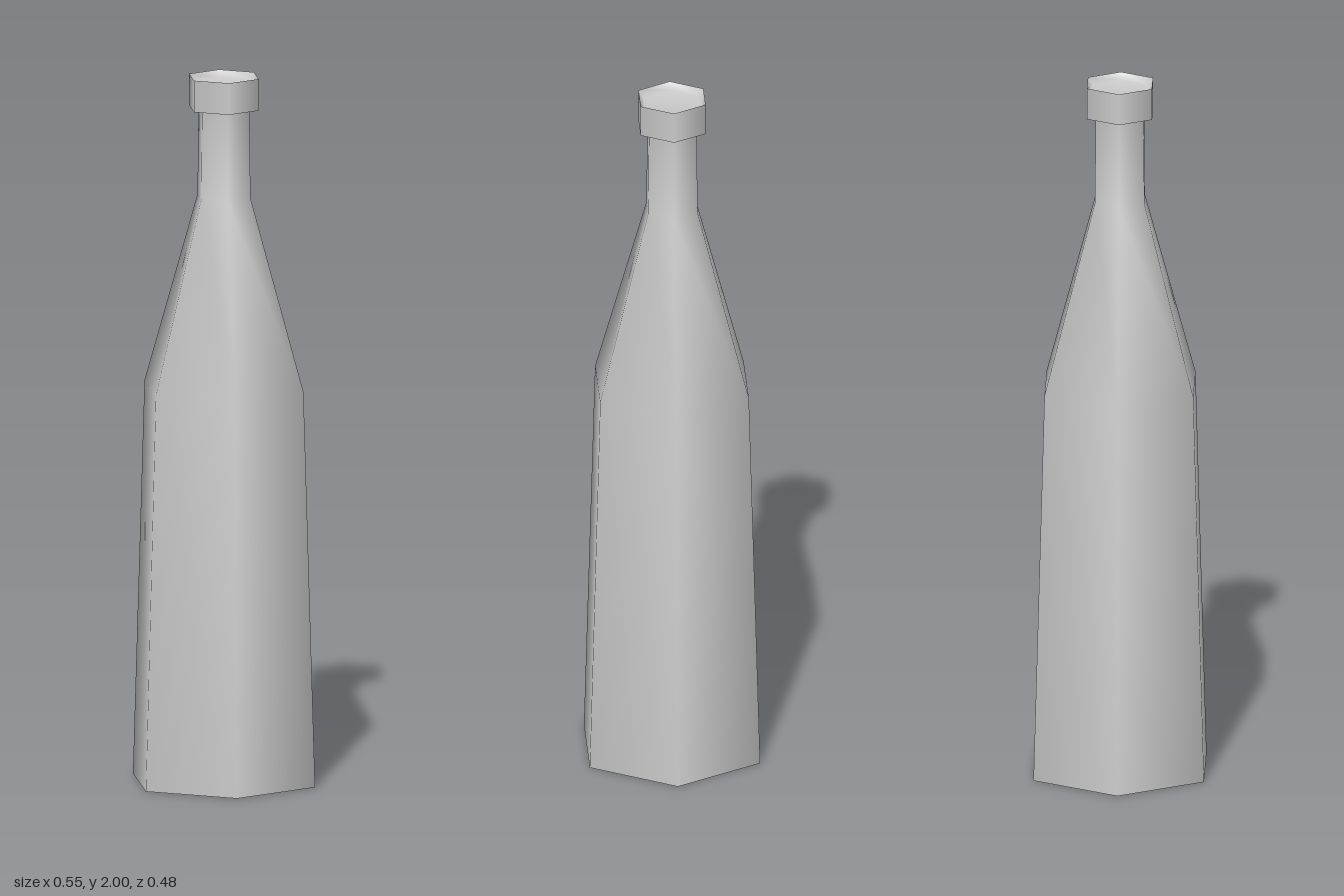
import * as THREE from 'three';

const SIDES = 6;

// Six-sided turned part with smooth normals; profile runs bottom to top as [radius, y]
function turned(name, profile, material) {
  const points = profile.map(([r, y]) => new THREE.Vector2(r, y));
  const geometry = new THREE.LatheGeometry(points, SIDES, Math.PI / 2);
  const mesh = new THREE.Mesh(geometry, material);
  mesh.name = name;
  return mesh;
}

export function createModel() {
  const bottle = new THREE.Group();
  bottle.name = 'bottle';
  const grey = new THREE.MeshStandardMaterial({ color: 0xcccccc });

  // Shallow hollow under the base
  bottle.add(turned('baseHollow', [[0, 0.03], [0.15, 0.03], [0.275, 0]], grey));

  // Tapering body, sloped shoulder and slim neck
  bottle.add(turned('body', [[0.275, 0], [0.24, 1.12], [0.08, 1.66], [0.077, 1.91]], grey));

  // Collar round the mouth: flat underside, upright band, slightly sunken top
  bottle.add(turned('lipUnderside', [[0.077, 1.91], [0.105, 1.91]], grey));
  bottle.add(turned('lipBand', [[0.105, 1.91], [0.105, 2]], grey));
  bottle.add(turned('mouth', [[0.105, 2], [0.09, 1.98], [0, 1.98]], grey));

  return bottle;
}
